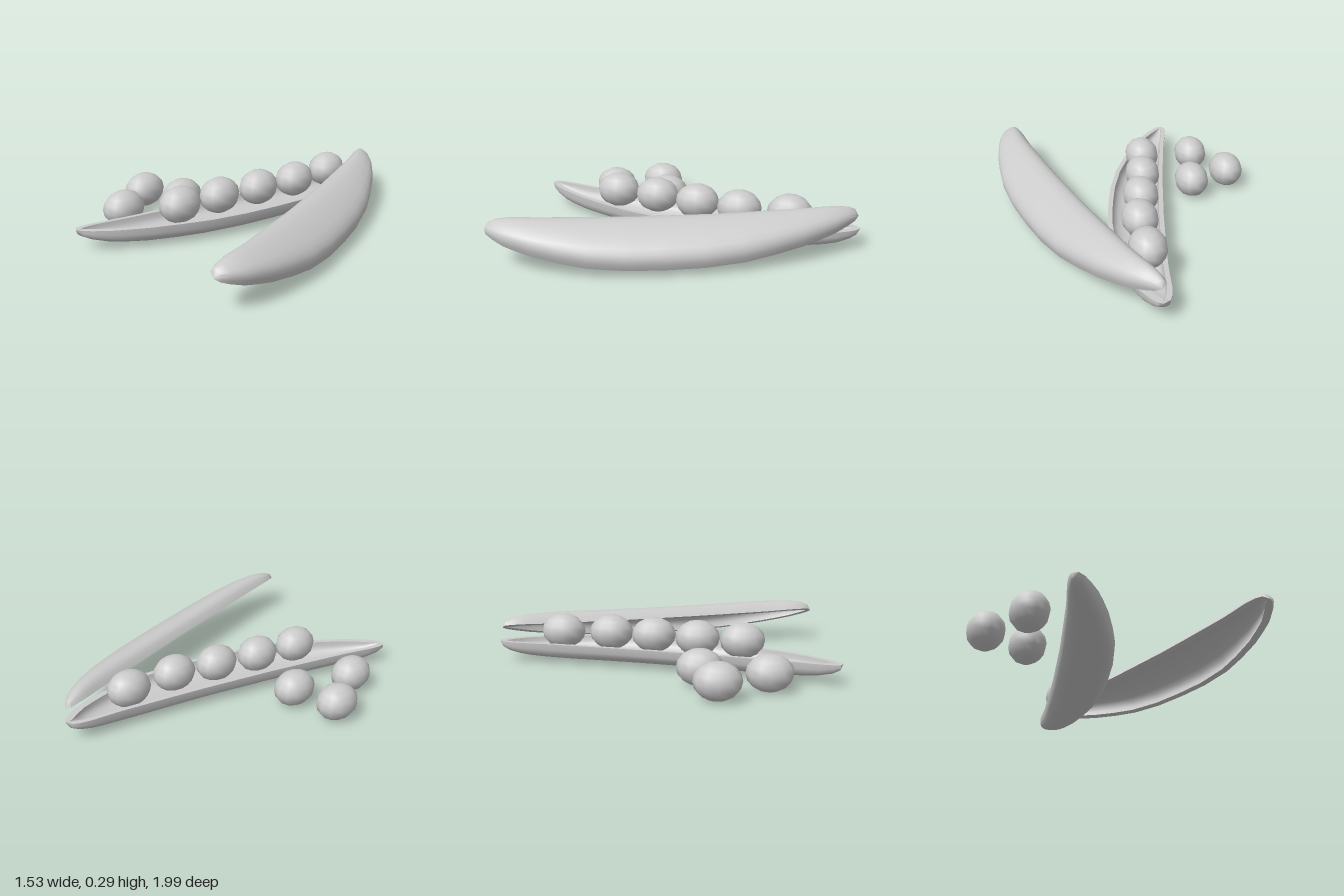
import * as THREE from 'three';
import { toCreasedNormals } from 'three/addons/utils/BufferGeometryUtils.js';

const material = new THREE.MeshStandardMaterial({ color: 0xcccccc });

// Half-pod outline from middle to tip: position along, straight edge, bulging edge
const outline = [
  [0, -0.015, 0.32], [0.2, -0.015, 0.315], [0.4, -0.02, 0.29], [0.55, -0.025, 0.25],
  [0.7, -0.03, 0.2], [0.8, -0.038, 0.155], [0.87, -0.045, 0.12], [0.94, -0.045, 0.07],
  [0.98, -0.036, 0.035], [1, 0, 0],
];
const HALF_LENGTH = 0.985, DEPTH = 0.105, WALL = 0.027, ARC = 12;

// Hollow pod half, domed towards +y with its rim on y = 0
function podGeometry() {
  const mirrored = outline.slice(1).reverse().map(([u, l, r]) => [-u, l, r]);
  const rings = [...mirrored, ...outline];
  const positions = [], index = [];
  const n = 2 * (ARC + 1);
  rings.forEach(([u, l, r]) => {
    const c = (l + r) / 2, w = (r - l) / 2;
    const depth = DEPTH * Math.sqrt(1 - Math.abs(u) ** 6);
    const addArc = (width, height, z, inner) => {
      for (let k = 0; k <= ARC; k++) {
        const a = Math.PI * (inner ? 1 - k / ARC : k / ARC);
        const cos = Math.cos(a), sin = Math.max(0, Math.sin(a));
        const y = k === 0 || k === ARC ? 0 : height * sin ** 0.72;
        positions.push(c - width * Math.sign(cos) * Math.abs(cos) ** 0.72, y, z);
      }
    };
    addArc(w, depth, u * HALF_LENGTH, false);
    addArc(Math.max(0, w - WALL), Math.max(0, depth - WALL), u * HALF_LENGTH * 0.975, true);
  });
  for (let i = 0; i < rings.length - 1; i++) {
    for (let j = 0; j < n; j++) {
      const a = i * n + j, b = i * n + (j + 1) % n;
      index.push(a, a + n, b, b, a + n, b + n);
    }
  }
  const geometry = new THREE.BufferGeometry();
  geometry.setAttribute('position', new THREE.Float32BufferAttribute(positions, 3));
  geometry.setIndex(index);
  return geometry;
}

// Place a pod half by its three axes and the middle of its straight edge
function makePod(name, x, y, z, origin) {
  const matrix = new THREE.Matrix4().makeBasis(
    new THREE.Vector3(...x), new THREE.Vector3(...y), new THREE.Vector3(...z));
  matrix.setPosition(...origin);
  const mesh = new THREE.Mesh(toCreasedNormals(podGeometry().applyMatrix4(matrix), 0.8), material);
  mesh.name = name;
  return mesh;
}

export function createModel() {
  const model = new THREE.Group();
  model.name = 'openPeaPod';

  // Lower half lies open side up; upper half is turned over and tilted
  model.add(makePod('lowerPodHalf', [1, 0, 0], [0, -1, 0], [0.264, 0, -1], [-0.14, 0.125, -0.01]));
  model.add(makePod('upperPodHalf', [0.87, -0.49, 0], [0.49, 0.87, 0], [0.267, 0, 1], [0.385, 0.2, 0.005]));

  // Slightly elongated peas
  const peaGeometry = new THREE.SphereGeometry(0.104, 12, 8).scale(1, 1, 1.25);
  const addPeas = (name, y, spots) => {
    const group = new THREE.Group();
    group.name = name;
    spots.forEach(([x, z], i) => {
      const pea = new THREE.Mesh(peaGeometry, material);
      pea.name = 'pea' + (i + 1);
      pea.position.set(x, y, z);
      group.add(pea);
    });
    model.add(group);
  };
  addPeas('peasInPod', 0.19, [[0.095, -0.6], [0.065, -0.31], [-0.005, -0.055], [-0.08, 0.2], [-0.14, 0.455]]);
  addPeas('loosePeas', 0.107, [[-0.655, 0.28], [-0.4, 0.2], [-0.505, 0.565]]);

  return model;
}
